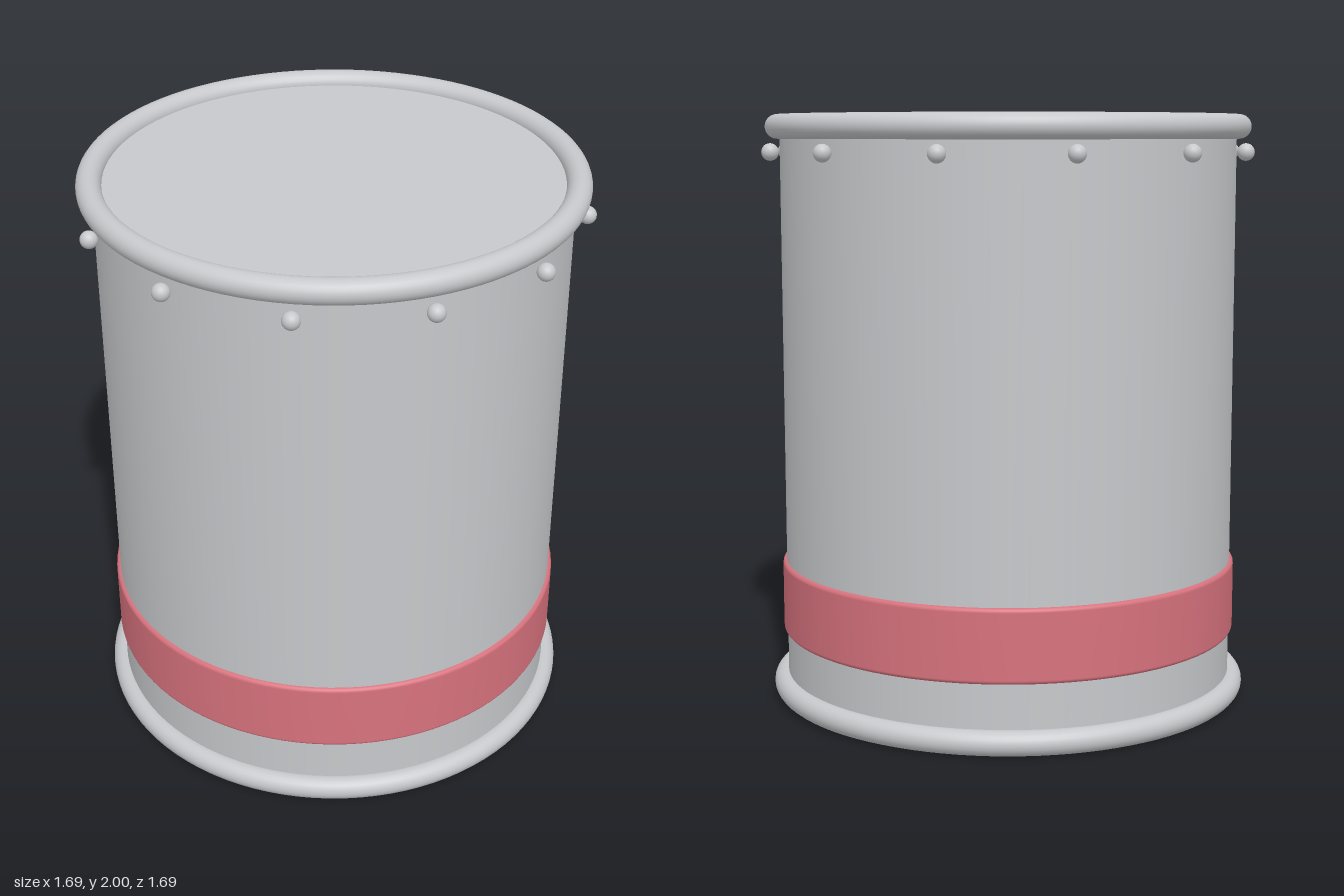
import * as THREE from 'three';

const steel = new THREE.MeshStandardMaterial({ color: 0xc6c8cb });
steel.name = 'steel grey';
const red = new THREE.MeshStandardMaterial({ color: 0xd7727d });
red.name = 'soft red';

export function createModel() {
  const group = new THREE.Group();
  group.name = 'drum';
  const add = (name, geometry, material, x = 0, y = 0, z = 0) => {
    const mesh = new THREE.Mesh(geometry, material);
    mesh.name = name;
    mesh.position.set(x, y, z);
    group.add(mesh);
    return mesh;
  };

  // Closed cylindrical body, ending at the middle of each rim
  add('body', new THREE.CylinderGeometry(0.775, 0.775, 1.918, 96), steel, 0, 1, 0);

  // Rolled rims
  const rim = new THREE.TorusGeometry(0.783, 0.041, 24, 96).rotateX(Math.PI / 2);
  add('topRim', rim, steel, 0, 1.959, 0);
  add('bottomRim', rim, steel, 0, 0.041, 0);

  // Painted band with rounded edges
  const low = 0.229, high = 0.475, outer = 0.788, inner = 0.77, r = 0.014;
  const profile = [new THREE.Vector2(inner, low)];
  for (let i = 0; i <= 5; i++) {
    const a = -Math.PI / 2 + (i / 5) * Math.PI / 2;
    profile.push(new THREE.Vector2(outer - r + r * Math.cos(a), low + r + r * Math.sin(a)));
  }
  for (let i = 0; i <= 5; i++) {
    const a = (i / 5) * Math.PI / 2;
    profile.push(new THREE.Vector2(outer - r + r * Math.cos(a), high - r + r * Math.sin(a)));
  }
  profile.push(new THREE.Vector2(inner, high));
  add('band', new THREE.LatheGeometry(profile, 96), red);

  // Ring of rivets below the top rim
  const rivet = new THREE.SphereGeometry(0.029, 20, 14);
  for (let i = 0; i < 12; i++) {
    const a = (i / 12) * Math.PI * 2;
    add(`rivet${i + 1}`, rivet, steel, 0.814 * Math.cos(a), 1.875, 0.814 * Math.sin(a));
  }
  return group;
}
